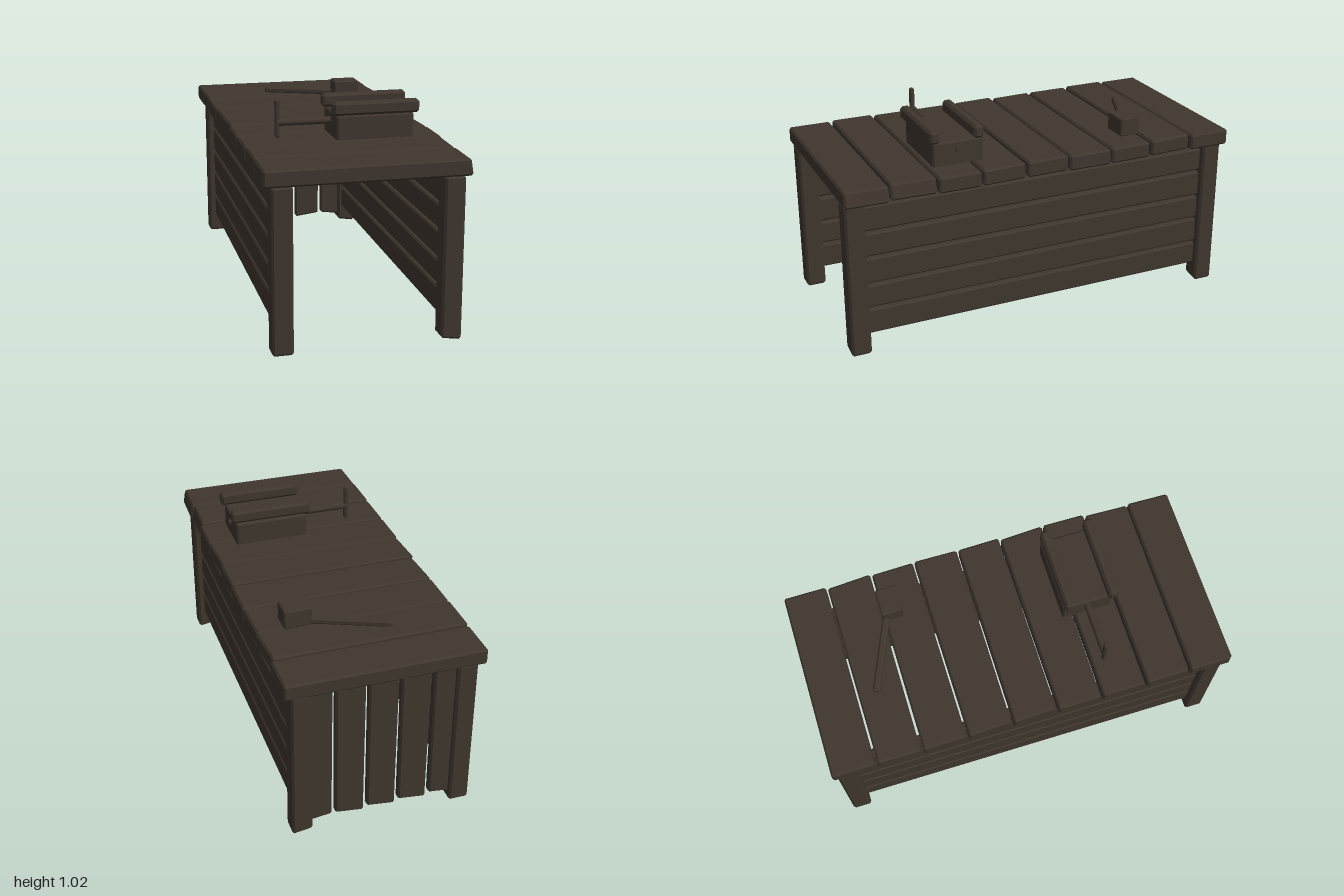
import * as THREE from 'three';
import { ConvexGeometry } from 'three/addons/geometries/ConvexGeometry.js';

const wood = new THREE.MeshStandardMaterial({ color: 0x3f362e });
wood.name = 'darkWood';

// Box with chamfered edges, given by its min and max corners; warp may move each point
function beam(name, min, max, bevel = 0.01, warp = null) {
  const mid = min.map((v, i) => (v + max[i]) / 2);
  const half = min.map((v, i) => (max[i] - v) / 2);
  const points = [];
  for (const sx of [-1, 1]) for (const sy of [-1, 1]) for (const sz of [-1, 1]) {
    const s = [sx, sy, sz];
    for (let face = 0; face < 3; face++) {
      const p = s.map((sign, i) => mid[i] + sign * (half[i] - (i === face ? 0 : bevel)));
      const v = new THREE.Vector3(...p);
      if (warp) warp(v, sx, sy, sz);
      points.push(v);
    }
  }
  const mesh = new THREE.Mesh(new ConvexGeometry(points), wood);
  mesh.name = name;
  return mesh;
}

function group(name, ...children) {
  const g = new THREE.Group();
  g.name = name;
  if (children.length) g.add(...children);
  return g;
}

function rod(name, radius, length) {
  const mesh = new THREE.Mesh(new THREE.CylinderGeometry(radius, radius, length, 10), wood);
  mesh.name = name;
  return mesh;
}

export function createModel() {
  const model = group('workbench');

  // Table top: nine cross planks with slightly uneven saw cuts
  const top = group('tableTop');
  const cuts = [0, 0.012, 0.004, -0.003, 0.003, 0.01, -0.002, 0.012, 0.01];
  for (let i = 0; i < 9; i++) {
    const z = -0.895 + i * 0.2228;
    const lift = i % 3 === 1 ? 0.004 : 0;
    top.add(beam('topPlank', [-0.47, 0.767 + lift, z - 0.105], [0.47, 0.845 + lift, z + 0.105], 0.009,
      (v, sx, sy, sz) => {
        if (sx > 0) v.x -= cuts[i] * (i > 6 ? (1 + sy) / 2 + (1 + sz) / 4 : (1 - sz) / 2);
        else if (i === 3 || i === 4) v.x += 0.008 * (1 + sz) / 2;
        if (sx > 0 && i % 2) v.z += 0.004 * sz;
      }));
  }
  model.add(top);

  // Four corner legs
  const legs = group('legs');
  for (const sx of [-1, 1]) for (const sz of [-1, 1]) {
    const x = sx * 0.387, z = sz * 0.938;
    legs.add(beam('leg', [x - 0.048, 0, z - 0.048], [x + 0.048, 0.768, z + 0.048], 0.01,
      (v, ax, ay) => { if (sx > 0 && ay < 0 && ax < 0) v.y += 0.012; }));
  }
  model.add(legs);

  // Horizontal boards on both sides
  for (const sx of [-1, 1]) {
    const side = group(sx > 0 ? 'leftSide' : 'rightSide');
    for (let i = 0; i < 5; i++) {
      const y = 0.15 + i * 0.1315;
      const tilt = [0.002, -0.003, 0.003, -0.003, 0.002][i];
      side.add(beam('sideBoard', [sx * 0.38 - 0.021, y - 0.06, -0.91], [sx * 0.38 + 0.021, y + 0.06, 0.91], 0.008,
        (v, ax, ay, az) => { v.y += tilt * az * ay; }));
    }
    model.add(side);
  }

  // Vertical boards closing the back
  const back = group('backWall');
  for (let i = 0; i < 5; i++) {
    const x = (i - 2) * 0.1545;
    back.add(beam('backBoard', [x - 0.07, 0.037, -0.96], [x + 0.07, 0.757, -0.918], 0.008,
      (v, sx, sy) => {
        if (sy < 0) v.y += 0.015 * (1 + (i === 4 ? -sx : sx)) / 2;
        else if (i % 2) v.y -= 0.01 * (1 + sx) / 2;
        if (sy < 0 && sx > 0) v.x -= 0.004;
      }));
  }
  model.add(back);

  // Bench vise with two jaws, screw and turning bar
  const vise = group('vise',
    beam('viseBody', [-0.033, 0.835, 0.275], [0.338, 0.96, 0.525], 0.008));
  for (const z of [0.302, 0.52]) {
    vise.add(beam('viseJaw', [-0.055, 0.962, z - 0.025], [0.36, 1.025, z + 0.025], 0.012));
  }
  const screw = rod('viseScrew', 0.017, 0.64);
  screw.rotation.z = Math.PI / 2;
  screw.position.set(0.03, 0.916, 0.398);
  const bar = beam('viseBar', [-0.3, 0.845, 0.386], [-0.276, 1.025, 0.41], 0.006);
  vise.add(screw, bar);
  model.add(vise);

  // Mallet lying on the bench
  const mallet = group('mallet', beam('malletHead', [0.205, 0.842, -0.565], [0.34, 0.934, -0.46], 0.006));
  const grip = beam('malletHandle', [-0.2, -0.016, -0.017], [0.2, 0.016, 0.017], 0.008);
  grip.position.set(0.05, 0.862, -0.615);
  grip.rotation.y = -0.39;
  mallet.add(grip);
  model.add(mallet);

  return model;
}
